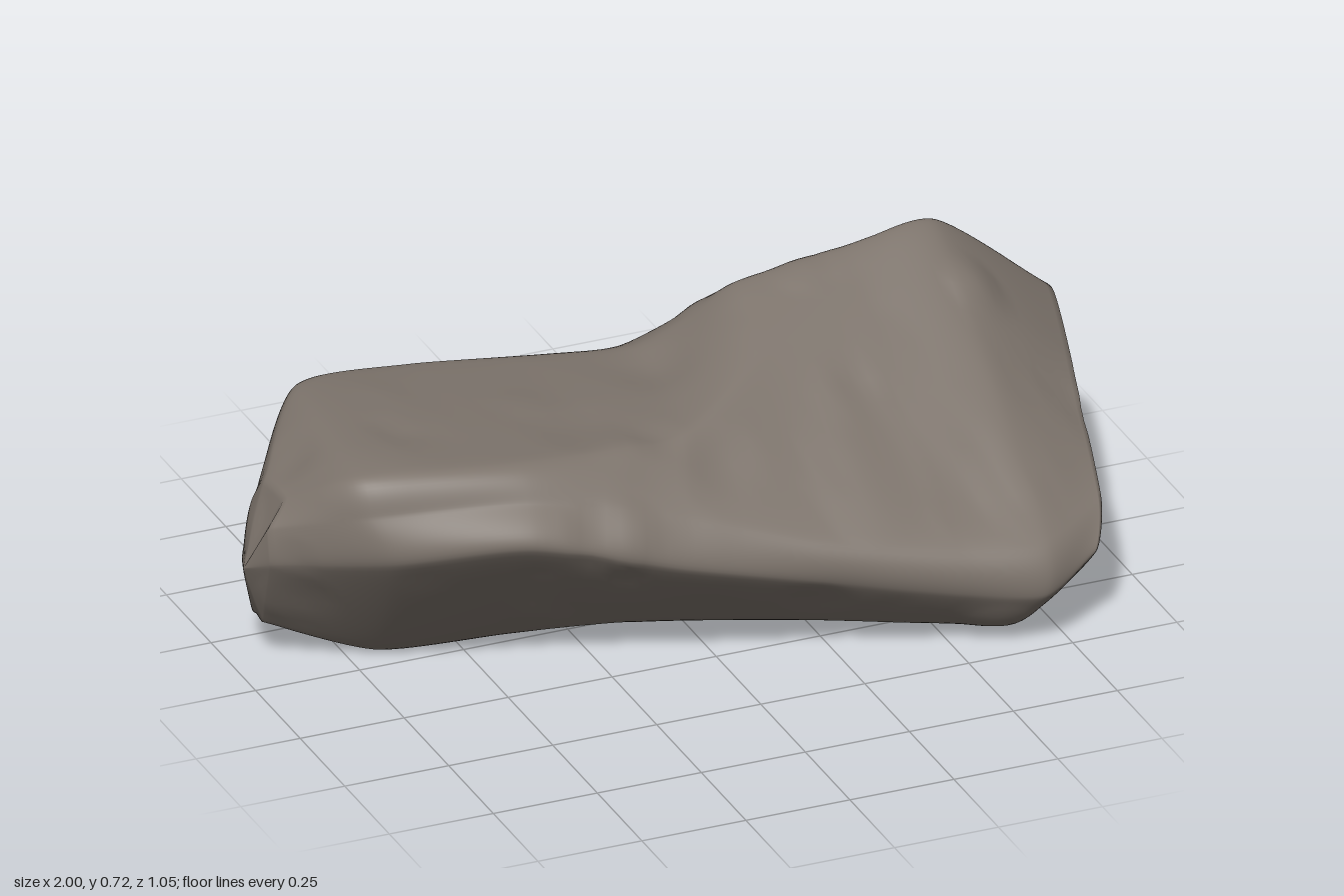
import * as THREE from 'three';
import { mergeVertices } from 'three/addons/utils/BufferGeometryUtils.js';

const V = (x, y, z) => new THREE.Vector3(x, y, z);
// A long edge of the boulder, running from its -x end to its +x end
const rail = (...pts) => new THREE.CatmullRomCurve3(pts.map((p) => V(...p)), false, 'catmullrom', 0.35);

const frontBottom = rail([-0.93, 0.1, -0.12], [-0.68, 0.01, -0.06], [-0.4, 0.035, 0.03], [-0.15, 0.06, 0.13],
  [0.2, 0.05, 0.25], [0.45, 0.035, 0.34], [0.63, 0.035, 0.41], [0.72, 0.07, 0.4]);
const frontBulge = rail([-0.965, 0.3, 0], [-0.75, 0.35, 0.2], [-0.47, 0.385, 0.315], [-0.12, 0.29, 0.365],
  [0.2, 0.22, 0.42], [0.5, 0.16, 0.485], [0.68, 0.14, 0.52], [0.82, 0.2, 0.47]);
const frontShoulder = rail([-0.965, 0.39, -0.01], [-0.79, 0.46, 0.16], [-0.45, 0.475, 0.26], [-0.1, 0.4, 0.32],
  [0.2, 0.32, 0.4], [0.5, 0.27, 0.455], [0.7, 0.255, 0.475], [0.87, 0.28, 0.38]);
const topFront = rail([-0.92, 0.445, -0.03], [-0.79, 0.54, 0.1], [-0.45, 0.545, 0.18], [-0.04, 0.52, 0.15],
  [0.23, 0.59, 0.0], [0.5, 0.625, -0.07], [0.72, 0.625, -0.07], [0.95, 0.42, 0.04]);
const ridge = rail([-0.92, 0.44, -0.14], [-0.74, 0.53, -0.37], [-0.46, 0.52, -0.38], [0.03, 0.52, -0.27],
  [0.25, 0.65, -0.23], [0.5, 0.685, -0.22], [0.73, 0.71, -0.23], [1.0, 0.5, -0.2]);
const backTop = rail([-0.93, 0.37, -0.18], [-0.73, 0.43, -0.44], [-0.44, 0.42, -0.44], [-0.04, 0.43, -0.4],
  [0.23, 0.52, -0.34], [0.5, 0.57, -0.31], [0.74, 0.61, -0.35], [0.94, 0.5, -0.32]);
const backBulge = rail([-0.96, 0.24, -0.17], [-0.68, 0.23, -0.505], [-0.44, 0.2, -0.49], [-0.27, 0.17, -0.525],
  [0.2, 0.23, -0.45], [0.53, 0.31, -0.39], [0.78, 0.43, -0.455], [0.89, 0.4, -0.39]);
const backBottom = rail([-0.92, 0.09, -0.21], [-0.68, 0.065, -0.31], [-0.42, 0.05, -0.36], [-0.15, 0.045, -0.42],
  [0.2, 0.06, -0.4], [0.42, 0.13, -0.39], [0.57, 0.18, -0.37], [0.74, 0.19, -0.28]);
const underside = rail([-0.93, 0.1, -0.16], [-0.66, 0.005, -0.17], [-0.42, 0.015, -0.16], [-0.12, 0.05, -0.12],
  [0.2, 0.035, -0.08], [0.45, 0.04, -0.01], [0.64, 0.05, 0.03], [0.78, 0.155, 0.01]);
const rails = [frontBottom, frontBulge, frontShoulder, topFront, ridge, backTop, backBulge, backBottom, underside];

// Seeded chips: each is a small dent or bump around a point
function makeChips(count) {
  let seed = 7;
  const rnd = () => (seed = (seed * 16807) % 2147483647) / 2147483647;
  return Array.from({ length: count }, () => ({
    at: V(rnd() * 2 - 1, rnd() * 0.7, rnd() - 0.5),
    radius: 0.05 + rnd() * 0.08,
    depth: (rnd() - 0.5) * 0.024,
  }));
}

function boulderGeometry() {
  const ALONG = 96, AROUND = 108, CAP = 16;
  const ring = (t) => new THREE.CatmullRomCurve3(rails.map((r) => r.getPoint(t)), true, 'catmullrom', 0.25)
    .getPoints(AROUND).slice(0, AROUND);
  const rows = [];
  for (let i = 0; i <= ALONG; i++) rows.push(ring(i / ALONG));

  // Close each end toward a centre point
  const shrink = (row, centre, f) => row.map((p) => p.clone().lerp(centre, f));
  const first = rows[0], last = rows[ALONG];
  const leftTip = V(-1, 0.27, -0.07), rightTip = V(0.92, 0.34, -0.07);
  for (let k = 1; k <= CAP; k++) {
    rows.unshift(shrink(first, leftTip, k / CAP));
    rows.push(shrink(last, rightTip, k / CAP));
  }

  const index = [];
  for (let i = 0; i < rows.length - 1; i++) {
    for (let j = 0; j < AROUND; j++) {
      const a = i * AROUND + j, b = i * AROUND + (j + 1) % AROUND;
      index.push(a, a + AROUND, b, b, a + AROUND, b + AROUND);
    }
  }
  let geo = new THREE.BufferGeometry().setFromPoints(rows.flat());
  geo.setIndex(index);
  geo = mergeVertices(geo, 1e-5);
  geo.computeVertexNormals();

  // Weather the surface
  const pos = geo.attributes.position, nor = geo.attributes.normal;
  const chips = makeChips(320), p = V(0, 0, 0), n = V(0, 0, 0);
  for (let i = 0; i < pos.count; i++) {
    p.fromBufferAttribute(pos, i);
    n.fromBufferAttribute(nor, i);
    let d = 0;
    for (const c of chips) d += c.depth * Math.max(0, 1 - p.distanceTo(c.at) / c.radius);
    p.addScaledVector(n, d);
    pos.setXYZ(i, p.x, Math.max(0, p.y), p.z);
  }
  geo.computeVertexNormals();
  return geo;
}

export function createModel() {
  const group = new THREE.Group();
  group.name = 'boulder';
  const stone = new THREE.MeshStandardMaterial({ color: 0x7d746c });
  stone.name = 'grey brown stone';
  const rock = new THREE.Mesh(boulderGeometry(), stone);
  rock.name = 'rock';
  group.add(rock);
  return group;
}
